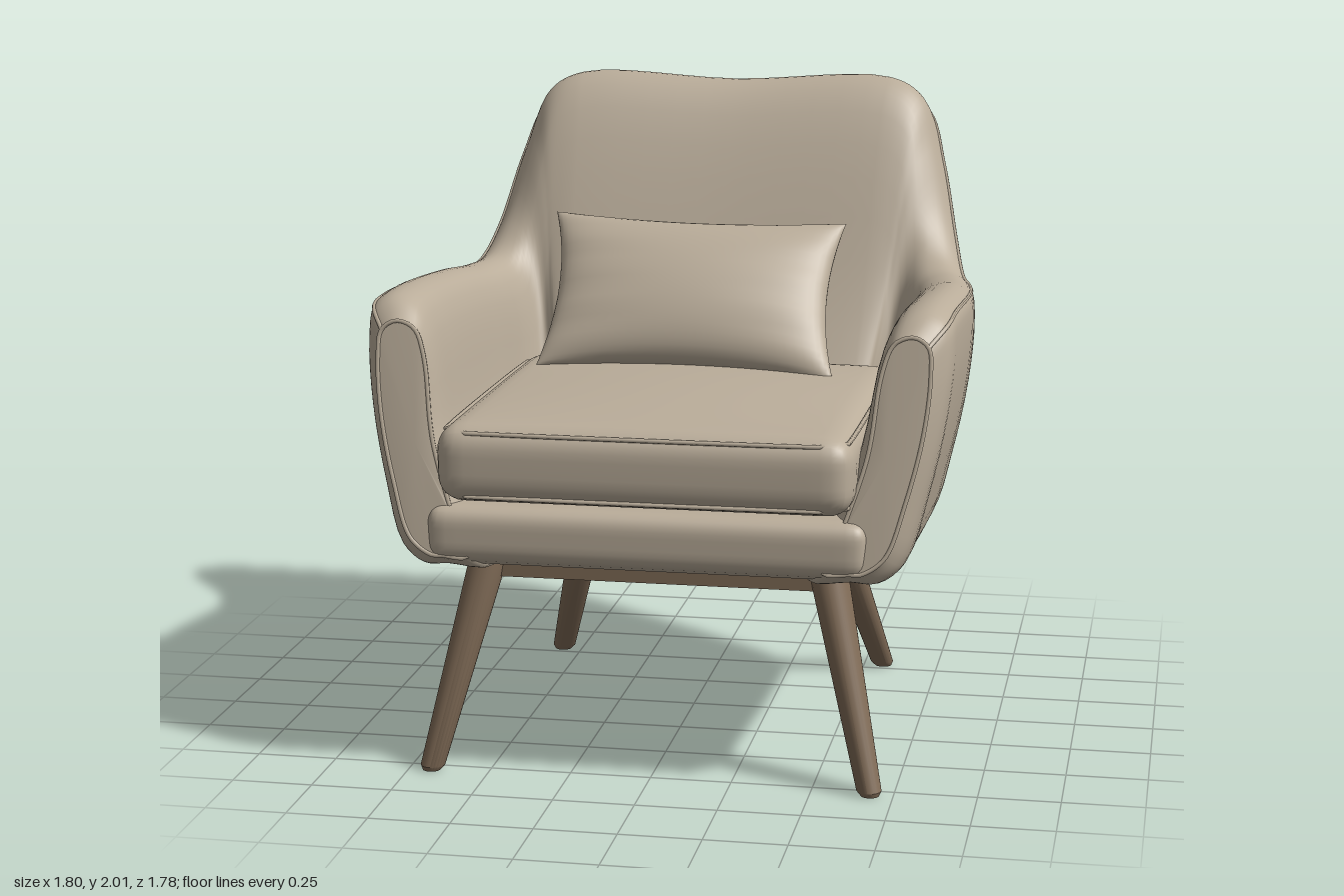
import * as THREE from 'three';
import { mergeVertices, toCreasedNormals } from 'three/addons/utils/BufferGeometryUtils.js';

const fabric = new THREE.MeshStandardMaterial({ color: 0xbaad9a });
fabric.name = 'beigeFabric';
const wood = new THREE.MeshStandardMaterial({ color: 0x826d58 });
wood.name = 'brownWood';

const V = (x, y, z) => new THREE.Vector3(x, y, z);

function addMesh(parent, name, geometry, material) {
  const mesh = new THREE.Mesh(geometry, material);
  mesh.name = name;
  parent.add(mesh);
  return mesh;
}

// Applies a rule to every vertex and rebuilds smooth normals
function deform(geometry, rule) {
  geometry.deleteAttribute('uv');
  geometry.deleteAttribute('normal');
  const pos = geometry.attributes.position, p = V();
  for (let i = 0; i < pos.count; i++) {
    rule(p.fromBufferAttribute(pos, i));
    pos.setXYZ(i, p.x, p.y, p.z);
  }
  const merged = mergeVertices(geometry, 1e-4);
  merged.computeVertexNormals();
  return merged;
}

// Grid lines gather towards the edges, where the curvature is
const ease = (u) => Math.sin(u * Math.PI / 2);

// Rounded block with an optional crown on top
function softBox(w, h, d, r, crown = 0) {
  const half = V(w / 2, h / 2, d / 2), inner = half.clone().subScalar(r);
  return deform(new THREE.BoxGeometry(2, 2, 2, 28, 14, 28), (p) => {
    const u = ease(p.x), v = ease(p.z), top = p.y > 0 ? p.y : 0;
    p.set(u, ease(p.y), v).multiply(half);
    const core = p.clone().clamp(inner.clone().negate(), inner);
    p.sub(core).normalize().multiplyScalar(r).add(core);
    p.y += crown * top * (1 - u * u) * (1 - v * v);
  });
}

function piping(parent, name, points, closed) {
  const curve = new THREE.CatmullRomCurve3(points, closed);
  addMesh(parent, name, new THREE.TubeGeometry(curve, points.length * 2, 0.007, 6, closed), fabric);
}

function surface(points, index) {
  const g = new THREE.BufferGeometry().setFromPoints(points);
  g.setIndex(index);
  g.computeVertexNormals();
  return g;
}

// Shell stations from arm front to middle of back:
// bottom xyz, top xyz, inward x z, top thickness, bottom thickness
const STATIONS = [
  [0.70, 0.70, 0.85, 0.84, 1.39, 0.72, -1, 0, 0.14, 0.16],
  [0.74, 0.66, 0.79, 0.89, 1.445, 0.64, -1, 0, 0.19, 0.25],
  [0.75, 0.65, 0.55, 0.90, 1.46, 0.50, -1, 0, 0.20, 0.28],
  [0.75, 0.615, 0, 0.90, 1.43, 0, -1, 0, 0.20, 0.28],
  [0.74, 0.60, -0.25, 0.875, 1.405, -0.30, -1, 0.1, 0.20, 0.28],
  [0.70, 0.59, -0.36, 0.835, 1.42, -0.46, -0.9, 0.4, 0.19, 0.30],
  [0.67, 0.59, -0.39, 0.795, 1.53, -0.60, -0.75, 0.65, 0.18, 0.34],
  [0.64, 0.59, -0.40, 0.735, 1.77, -0.74, -0.55, 0.85, 0.18, 0.37],
  [0.60, 0.59, -0.41, 0.67, 1.94, -0.84, -0.35, 0.95, 0.19, 0.39],
  [0.50, 0.59, -0.42, 0.54, 2.0, -0.885, -0.1, 1, 0.20, 0.40],
  [0, 0.59, -0.42, 0, 1.985, -0.89, 0, 1, 0.20, 0.40],
];
const RING = 52, SPAN = 120;

// Closed cross-section: under, up the outside, over the crest, down the inside
function crossSection([bx, by, bz, tx, ty, tz, ix, iz, wt, wb]) {
  const b = V(bx, by, bz), t = V(tx, ty, tz), inward = V(ix, 0, iz).normalize();
  const at = (k, s) => b.clone().lerp(t, k)
    .addScaledVector(inward, s - 0.04 * Math.sin(Math.PI * k));
  const w = (k) => wb + (wt - wb) * k;
  const points = [
    at(0, wb), at(0, wb * 0.5), at(0, 0.05), at(0.07, 0), at(0.3, 0), at(0.6, 0), at(0.85, 0),
    at(0.96, 0.08 * wt), at(1, 0.4 * wt), at(0.97, 0.8 * wt), at(0.85, w(0.85)), at(0.5, w(0.5)), at(0.2, w(0.2)),
  ];
  const curve = new THREE.CatmullRomCurve3(points, true);
  return Array.from({ length: RING }, (_, j) => curve.getPoint(j / RING));
}

function buildShell(parent) {
  const half = STATIONS.map(crossSection);
  const mirrored = half.slice(0, -1).reverse().map((r) => r.map((p) => V(-p.x, p.y, p.z)));
  const rings = [...half, ...mirrored];
  const columns = [];
  for (let j = 0; j < RING; j++) {
    columns.push(new THREE.CatmullRomCurve3(rings.map((r) => r[j])).getPoints(SPAN));
  }
  const points = [], index = [];
  for (let i = 0; i <= SPAN; i++) {
    for (let j = 0; j < RING; j++) {
      points.push(columns[j][i]);
      if (i === SPAN) continue;
      const n = (j + 1) % RING, a = i * RING + j, d = i * RING + n;
      index.push(a, a + RING, d + RING, a, d + RING, d);
    }
  }
  addMesh(parent, 'armsAndBack', surface(points, index), fabric);

  // Front faces of the arms, with piping round them
  for (const [name, ring, flip] of [['left', rings[0], false], ['right', rings.at(-1), true]]) {
    const centre = ring.reduce((s, p) => s.add(p), V()).divideScalar(RING);
    centre.z += 0.01;
    const fan = [];
    for (let j = 0; j < RING; j++) {
      const n = (j + 1) % RING;
      fan.push(RING, flip ? n : j, flip ? j : n);
    }
    addMesh(parent, name + 'ArmFront', surface([...ring, centre], fan), fabric);
    piping(parent, name + 'ArmPiping', ring, true);
  }
  piping(parent, 'topPiping', columns[28], false);
}

function buildSeat(parent) {
  const deck = addMesh(parent, 'seatBase', softBox(1.28, 0.18, 1.16, 0.05), fabric);
  deck.position.set(0, 0.722, 0.26);
  deck.rotation.x = -0.064;
  const rail = addMesh(parent, 'frontRail', softBox(1.34, 0.175, 0.2, 0.055), fabric);
  rail.position.set(0, 0.765, 0.765);

  const cushion = new THREE.Group();
  cushion.name = 'seatCushion';
  cushion.position.set(0, 0.99, 0.3);
  parent.add(cushion);
  addMesh(cushion, 'cushionBody', softBox(1.26, 0.24, 1.21, 0.08, 0.035), fabric);
  for (const [name, y] of [['cushionTopPiping', 0.097], ['cushionBottomPiping', -0.097]]) {
    const loop = [];
    for (let c = 0; c < 4; c++) {
      const sx = c === 0 || c === 3 ? 1 : -1, sz = c < 2 ? 1 : -1;
      for (let k = 0; k <= 4; k++) {
        const a = (c + k / 4) * Math.PI / 2;
        loop.push(V(sx * 0.55 + 0.057 * Math.cos(a), y, sz * 0.525 + 0.057 * Math.sin(a)));
      }
    }
    piping(cushion, name, loop, true);
  }
}

// Pinched pillow leaning against the back
function buildPillow(parent) {
  const geometry = deform(new THREE.BoxGeometry(2, 2, 2, 32, 24, 1), (p) => {
    const u = ease(p.x), v = ease(p.y), a = Math.max(0, 1 - u * u), b = Math.max(0, 1 - v * v);
    const ripple = 1 + 0.05 * Math.sin(v * 14) * u * u;
    p.set(0.495 * u * (1 - 0.09 * b), 0.3 * v * (1 - 0.12 * a),
      Math.sign(p.z) * 0.12 * Math.pow(a * b, 0.45) * ripple);
    p.x -= 0.02 * v;
  });
  const pillow = addMesh(parent, 'pillow', geometry, fabric);
  pillow.position.set(-0.045, 1.335, -0.2);
  pillow.rotation.set(-0.72, -0.05, -0.01, 'YXZ');
}

// Tapered leg, slanted so both ends stay level
function buildLeg(parent, name, foot, top) {
  const h = top.y;
  const profile = [[0, 0], [0.028, 0], [0.038, 0.015], [0.062, h], [0, h]]
    .map(([r, y]) => new THREE.Vector2(r, y));
  const geometry = deform(new THREE.LatheGeometry(profile, 24), (p) => {
    const t = p.y / h;
    p.x += foot.x + (top.x - foot.x) * t;
    p.z += foot.z + (top.z - foot.z) * t;
  });
  addMesh(parent, name, toCreasedNormals(geometry, 0.6), wood);
}

export function createModel() {
  const model = new THREE.Group();
  model.name = 'armchair';
  buildShell(model);
  buildSeat(model);
  buildPillow(model);
  for (const [side, s] of [['Left', 1], ['Right', -1]]) {
    buildLeg(model, 'front' + side + 'Leg', V(s * 0.68, 0, 0.79), V(s * 0.515, 0.7, 0.62));
    buildLeg(model, 'rear' + side + 'Leg', V(s * 0.565, 0, -0.545), V(s * 0.39, 0.65, -0.28));
  }
  // Wooden bar between the front legs
  const bar = addMesh(model, 'frontBar', new THREE.BoxGeometry(1.0, 0.1, 0.06), wood);
  bar.position.set(0, 0.64, 0.63);
  return model;
}
